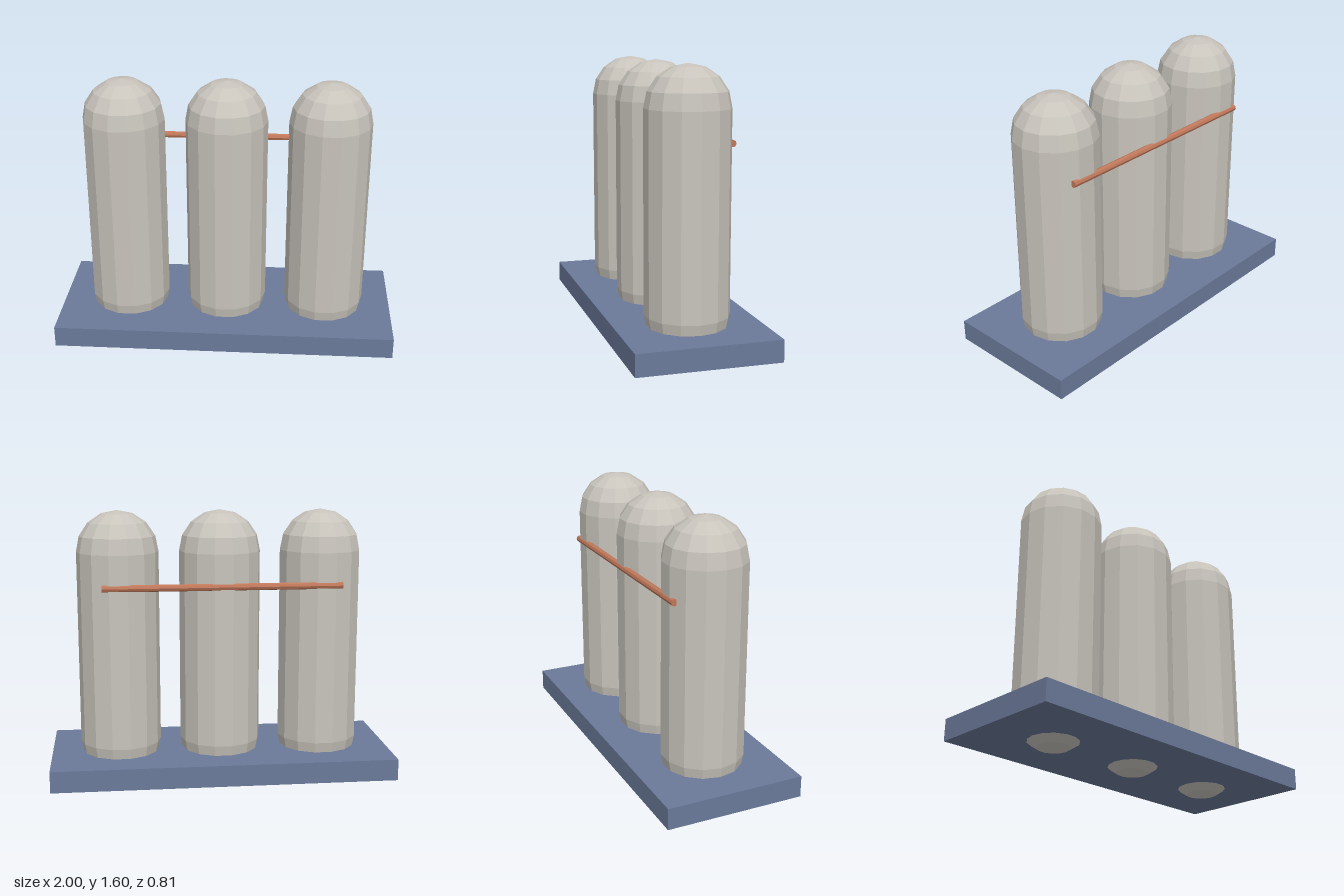
import * as THREE from 'three';

export function createModel() {
  const model = new THREE.Group();
  const paint = (name, color) => {
    const m = new THREE.MeshStandardMaterial({ color, flatShading: true });
    m.name = name;
    return m;
  };
  const grey = paint('warm grey', 0xc8c4bc);
  const blue = paint('slate blue', 0x6b7a9a);
  const copper = paint('copper', 0xc0785a);

  const add = (name, geometry, material, x, y, z) => {
    const mesh = new THREE.Mesh(geometry, material);
    mesh.name = name;
    mesh.position.set(x, y, z);
    model.add(mesh);
    return mesh;
  };

  // Base slab
  add('base', new THREE.BoxGeometry(2, 0.125, 0.81), blue, 0, 0.115, 0);

  // Three round-ended tanks, sunk through the base
  const radius = 0.2375, height = 1.6;
  const tank = new THREE.CapsuleGeometry(radius, height - 2 * radius, 4, 14);
  ['rightTank', 'middleTank', 'leftTank'].forEach((name, i) => {
    add(name, tank, grey, (i - 1) * 0.594, height / 2, 0);
  });

  // Pipe joining the tanks along their backs
  const pipe = new THREE.CylinderGeometry(0.02, 0.02, 1.375, 8);
  add('pipe', pipe, copper, 0, 1.177, -0.222).rotation.z = Math.PI / 2;

  return model;
}
